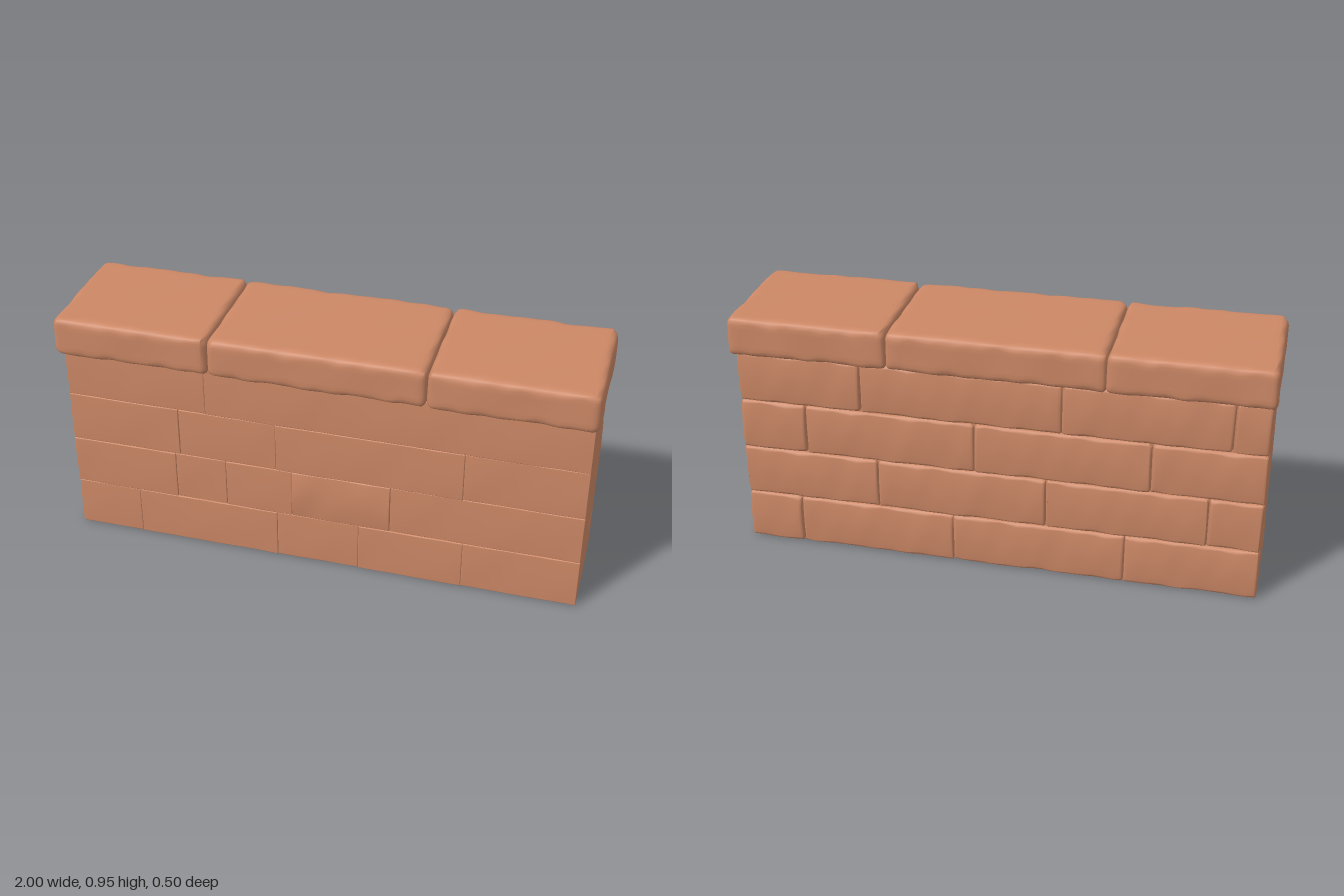
import * as THREE from 'three';
import { mergeVertices } from 'three/addons/utils/BufferGeometryUtils.js';

const brick = new THREE.MeshStandardMaterial({ color: 0xcc8866 });
brick.name = 'terracotta';

// Smooth position-based unevenness, roughly -1..1
function wobble(x, y, z) {
  return (Math.sin(x * 9.1 + z * 7 + 1.3) + Math.sin(y * 17 - x * 13.7 + 0.6)
    + Math.sin(z * 23 + x * 21.3 + y * 11)) / 3;
}

// Worn block between two corners: rounded edges, optional bulge on one z face, welded smooth
function block(name, min, max, { radius, chips = 0.3, rough = 0.002, bulge = 0, side = 0, seg = 0.035 }) {
  const size = max.map((v, i) => v - min[i]);
  const mid = max.map((v, i) => (v + min[i]) / 2);
  const n = size.map((s) => Math.max(6, Math.round(s / seg) + 4));
  const geo = new THREE.BoxGeometry(...size, ...n);
  geo.deleteAttribute('normal');
  geo.deleteAttribute('uv');
  const pos = geo.attributes.position;
  const p = new THREE.Vector3(), c = new THREE.Vector3(), d = new THREE.Vector3();
  for (let i = 0; i < pos.count; i++) {
    p.fromBufferAttribute(pos, i);
    const w = wobble(p.x * 3 + mid[0] * 3, p.y + mid[1], p.z * 2 + mid[2]);
    const r = radius * (1 + chips * w);
    // Gather two grid lines inside every rounded edge
    ['x', 'y', 'z'].forEach((axis, k) => {
      const h = size[k] / 2;
      const g = Math.round((p[axis] / size[k] + 0.5) * n[k]);
      if (g <= 2) p[axis] = -h + r * g / 2;
      else if (g >= n[k] - 2) p[axis] = h - r * (n[k] - g) / 2;
      else p[axis] = -h + r + (size[k] - 2 * r) * (g - 2) / (n[k] - 4);
      c[axis] = THREE.MathUtils.clamp(p[axis], -h + r, h - r);
    });
    d.subVectors(p, c).normalize();
    const out = rough * wobble(c.x + mid[0], c.y + mid[1], c.z + mid[2]);
    const swell = bulge * (1 - (2 * p.y / size[1]) ** 2) * (0.75 + 0.4 * w);
    p.copy(c).addScaledVector(d, r + out);
    if (side * d.z > 0.5) p.z += side * swell;
    pos.setXYZ(i, p.x + mid[0], Math.max(0, p.y + mid[1]), p.z + mid[2]);
  }
  const welded = mergeVertices(geo, 1e-5);
  welded.computeVertexNormals();
  const mesh = new THREE.Mesh(welded, brick);
  mesh.name = name;
  return mesh;
}

export function createModel() {
  const wall = new THREE.Group();
  wall.name = 'brickWall';

  // Solid core closes the joints
  const core = new THREE.Mesh(new THREE.BoxGeometry(1.956, 0.805, 0.375), brick);
  core.name = 'core';
  core.position.set(0, 0.4045, -0.0045);
  wall.add(core);

  // Joint positions per course, bottom to top
  const END = 0.986, COURSE = 0.2;
  const backJoints = [[-0.49, 0.165, 0.77], [-0.79, -0.19, 0.455], [-0.575, 0.08, 0.73], [-0.86, -0.245, 0.51]];
  const frontJoints = [[-0.73, -0.17, 0.15, 0.55], [-0.57, -0.37, -0.11, 0.27], [-0.55, -0.17, 0.54], [-0.44]];

  // Deeply jointed bricks on the back
  const back = new THREE.Group();
  back.name = 'backBricks';
  backJoints.forEach((joints, row) => {
    const xs = [-END, ...joints, END];
    for (let i = 0; i < xs.length - 1; i++) {
      back.add(block('backBrick', [xs[i], row * COURSE, -0.205], [xs[i + 1], (row + 1) * COURSE, 0.03],
        { radius: 0.013, chips: 0.5, rough: 0.002, bulge: 0.008, side: -1 }));
    }
  });
  wall.add(back);

  // Nearly flush, worn bricks on the front
  const front = new THREE.Group();
  front.name = 'frontBricks';
  frontJoints.forEach((joints, row) => {
    const xs = [-END, ...joints, END];
    for (let i = 0; i < xs.length - 1; i++) {
      const proud = 0.191 + 0.002 * Math.sin(i * 2.4 + row * 1.7);
      const bulge = row === 1 && i === 3 ? 0.01 : 0.002;
      front.add(block('frontBrick', [xs[i], row * COURSE, -0.03], [xs[i + 1], (row + 1) * COURSE, proud],
        { radius: 0.004, rough: 0.0015, bulge, side: 1 }));
    }
  });
  wall.add(front);

  // Overhanging coping stones
  const coping = new THREE.Group();
  coping.name = 'coping';
  const cuts = [-0.998, -0.405, 0.398, 0.998];
  for (let i = 0; i < 3; i++) {
    coping.add(block('copingStone', [cuts[i], 0.801, -0.244], [cuts[i + 1], 0.951, 0.247],
      { radius: 0.026, chips: 0.3, rough: 0.003, seg: 0.025 }));
  }
  wall.add(coping);

  return wall;
}
